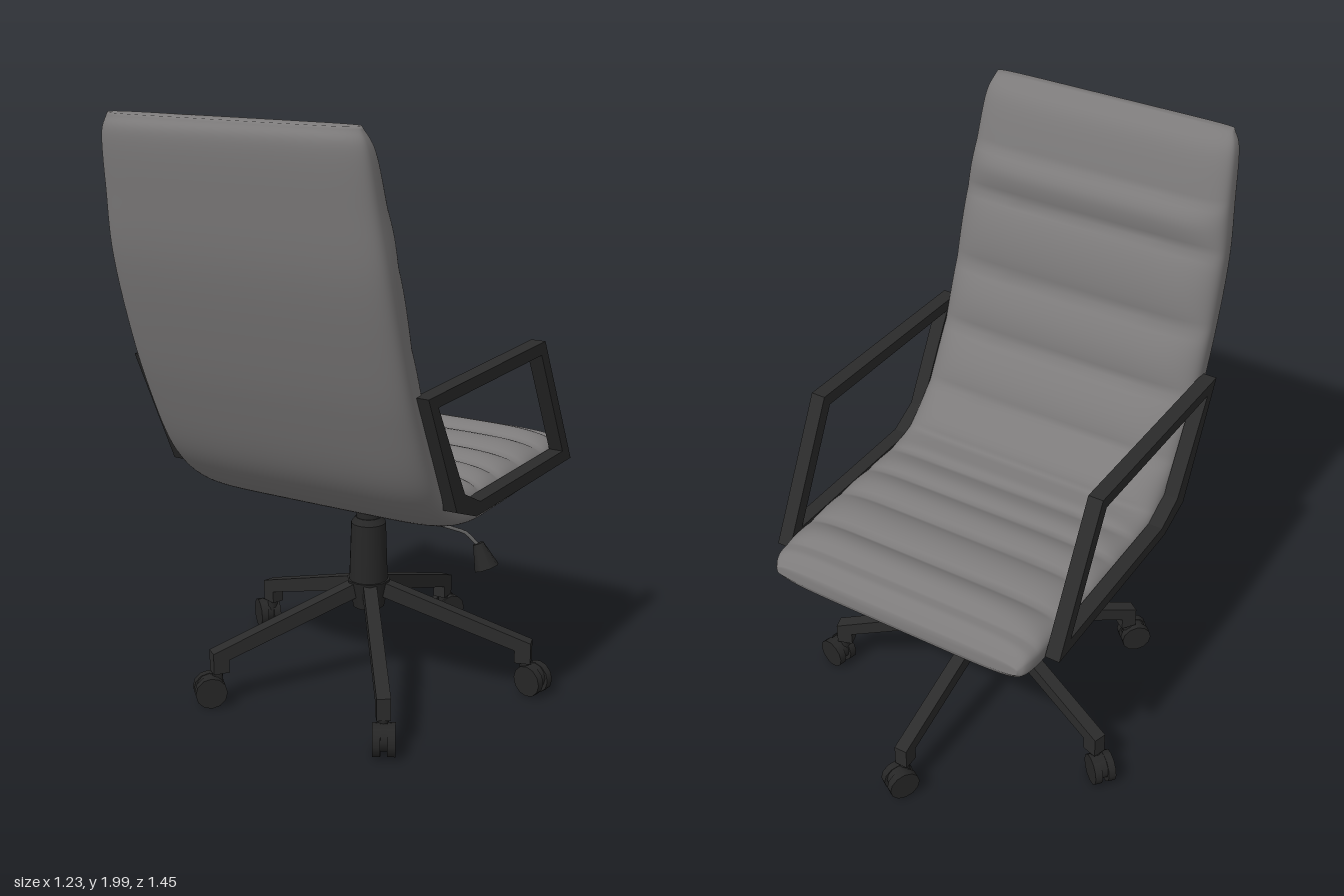
import * as THREE from 'three';

const mat = (name, color, extra = {}) => Object.assign(new THREE.MeshStandardMaterial({ color, ...extra }), { name });

export function createModel() {
  const leather = mat('grey leather', 0x7d7b7b);
  const frame = mat('dark frame', 0x2b2b2b);
  const black = mat('black plastic', 0x262626);
  const metal = mat('lever metal', 0x5a5a5a);

  const chair = new THREE.Group();
  chair.name = 'officeChair';
  const add = (parent, name, geo, material, x = 0, y = 0, z = 0) => {
    const m = new THREE.Mesh(geo, material);
    m.name = name;
    m.position.set(x, y, z);
    parent.add(m);
    return m;
  };
  const cyl = (rTop, rBottom, h, n = 16) => new THREE.CylinderGeometry(rTop, rBottom, h, n);
  const polygon = (pts, Type = THREE.Shape) => new Type(pts.map(p => new THREE.Vector2(...p)));

  // Padded shell: stations from the head to the seat front: [outer z, outer y, inner z, inner y, half width]
  const stations = [
    [0.71, 1.99, 0.67, 1.995, 0.43], [0.73, 1.93, 0.615, 1.92, 0.455], [0.71, 1.76, 0.57, 1.77, 0.47],
    [0.675, 1.56, 0.535, 1.62, 0.485], [0.61, 1.34, 0.465, 1.37, 0.49], [0.53, 1.12, 0.385, 1.16, 0.49],
    [0.42, 0.89, 0.27, 0.97, 0.49], [0.285, 0.755, 0.14, 0.855, 0.49], [0.13, 0.70, 0.03, 0.835, 0.49],
    [-0.05, 0.695, -0.10, 0.835, 0.49], [-0.25, 0.70, -0.25, 0.835, 0.49], [-0.42, 0.71, -0.42, 0.835, 0.485],
    [-0.57, 0.715, -0.55, 0.835, 0.48], [-0.63, 0.725, -0.60, 0.83, 0.47], [-0.645, 0.75, -0.64, 0.79, 0.45],
  ];
  const curve = (f) => new THREE.CatmullRomCurve3(stations.map(f), false, 'catmullrom', 0.5);
  const outer = curve(s => new THREE.Vector3(s[4], s[1], s[0]));
  const inner = curve(s => new THREE.Vector3(s[4], s[3], s[2]));
  const segs = stations.length - 1, rows = segs * 8, cols = 64;
  const pos = [], index = [];
  const power = (v, e) => Math.sign(v) * Math.abs(v) ** e;
  for (let i = 0; i <= rows; i++) {
    const t = i / rows, s = t * segs;
    const o = outer.getPoint(t), n = inner.getPoint(t), dir = n.clone().sub(o).setX(0).normalize();
    // one stuffed roll between each pair of seams
    const puff = s > 2 && s < 12 ? 0.026 * Math.abs(Math.sin(Math.PI * s)) ** 0.8 : 0;
    for (let j = 0; j < cols; j++) {
      const a = j / cols * Math.PI * 2;
      const u = power(Math.cos(a), 0.3), v = power(Math.sin(a), 0.6);
      const p = o.clone().lerp(n, 0.5 + 0.5 * v);
      if (v > 0) p.addScaledVector(dir, puff * v * (1 - 0.6 * u ** 8));
      pos.push(o.x * u, p.y, p.z);
      if (i < rows) {
        const k = i * cols + j, k1 = i * cols + (j + 1) % cols;
        index.push(k, k + cols, k1, k1, k + cols, k1 + cols);
      }
    }
  }
  // close the head and front ends
  for (const [row, flip] of [[0, false], [rows, true]]) {
    const o = outer.getPoint(row / rows).lerp(inner.getPoint(row / rows), 0.5);
    const c = pos.length / 3;
    pos.push(0, o.y, o.z);
    for (let j = 0; j < cols; j++) {
      const a = row * cols + j, b = row * cols + (j + 1) % cols;
      index.push(c, flip ? b : a, flip ? a : b);
    }
  }
  const shell = new THREE.BufferGeometry();
  shell.setAttribute('position', new THREE.Float32BufferAttribute(pos, 3));
  shell.setIndex(index);
  shell.computeVertexNormals();
  add(chair, 'paddedSeatAndBack', shell, leather);

  // Armrest loops
  const arm = polygon([[0.485, 1.215], [0.30, 0.82], [0.17, 0.77], [-0.535, 0.77], [-0.295, 1.23]]);
  arm.holes.push(polygon([[0.425, 1.178], [-0.27, 1.188], [-0.465, 0.812], [0.145, 0.812], [0.25, 0.865]], THREE.Path));
  const armGeo = new THREE.ExtrudeGeometry(arm, { depth: 0.05, bevelEnabled: false });
  armGeo.rotateY(-Math.PI / 2);
  add(chair, 'leftArmrest', armGeo, frame, 0.53);
  add(chair, 'rightArmrest', armGeo, frame, -0.487);

  // Swivel base
  const base = new THREE.Group();
  base.name = 'swivelBase';
  base.position.set(-0.008, 0, -0.08);
  chair.add(base);
  add(base, 'hub', cyl(0.075, 0.055, 0.1, 10), black, 0, 0.32);
  add(base, 'columnSleeve', cyl(0.06, 0.067, 0.21), black, 0, 0.47);
  add(base, 'columnCollar', cyl(0.045, 0.06, 0.02), black, 0, 0.585);
  add(base, 'gasLift', cyl(0.042, 0.042, 0.1), black, 0, 0.63);

  const legGeo = new THREE.ExtrudeGeometry(
    polygon([[0.03, 0.375], [0.03, 0.32], [0.515, 0.16], [0.515, 0.115], [0.57, 0.115], [0.57, 0.19]]),
    { depth: 0.046, bevelEnabled: false });
  legGeo.translate(0, 0, -0.023);
  const wheelGeo = cyl(0.054, 0.054, 0.026, 12).rotateX(Math.PI / 2);
  const hoodGeo = cyl(0.044, 0.044, 0.03, 12).rotateX(Math.PI / 2);
  const casterYaw = [60, -40, 45, 120, -13];
  casterYaw.forEach((yaw, k) => {
    const leg = new THREE.Group();
    leg.name = 'baseLeg' + (k + 1);
    leg.rotation.y = THREE.MathUtils.degToRad(90 + 72 * k);
    base.add(leg);
    add(leg, 'legBar', legGeo, frame);
    add(leg, 'casterStem', cyl(0.018, 0.018, 0.07, 8), black, 0.55, 0.1);
    const caster = new THREE.Group();
    caster.name = 'caster';
    caster.position.set(0.578, 0.055, 0);
    caster.rotation.y = THREE.MathUtils.degToRad(yaw) - leg.rotation.y;
    leg.add(caster);
    for (const side of [-1, 1]) add(caster, 'wheel', wheelGeo, black, 0, 0, side * 0.024);
    add(caster, 'casterHood', hoodGeo, black, 0, 0.008);
  });

  // Tilt mechanism: plate narrowing downwards, housing and tension knob
  const plate = new THREE.BoxGeometry(0.2, 0.045, 0.32);
  const pp = plate.attributes.position;
  for (let i = 0; i < pp.count; i++) {
    if (pp.getY(i) < 0) pp.setXYZ(i, pp.getX(i) * 0.7, pp.getY(i), pp.getZ(i) * 0.65);
  }
  plate.computeVertexNormals();
  add(chair, 'tiltPlate', plate, black, -0.005, 0.685, -0.06);
  add(chair, 'tiltHousing', new THREE.BoxGeometry(0.1, 0.05, 0.24), black, -0.005, 0.665, -0.16);
  add(chair, 'tensionKnob', cyl(0.048, 0.055, 0.13, 12), black, 0, 0.615, -0.31).rotation.x = 0.3;

  // Height lever with its handle, and the wire bracket that carries it
  const rod = (...pts) => new THREE.TubeGeometry(
    new THREE.CatmullRomCurve3(pts.map(p => new THREE.Vector3(...p)), false, 'catmullrom', 0.2), 24, 0.006, 6);
  add(chair, 'heightLever', rod([0, 0.655, -0.06], [0.2, 0.635, -0.05], [0.38, 0.625, -0.04], [0.43, 0.59, -0.04]), metal);
  add(chair, 'leverHandle', cyl(0.018, 0.042, 0.085, 8), black, 0.448, 0.556, -0.04).rotation.z = 0.4;
  add(chair, 'leverBracket', rod([-0.095, 0.7, -0.06], [-0.095, 0.64, -0.06], [0.08, 0.64, -0.06], [0.08, 0.7, -0.06]), metal);

  return chair;
}
